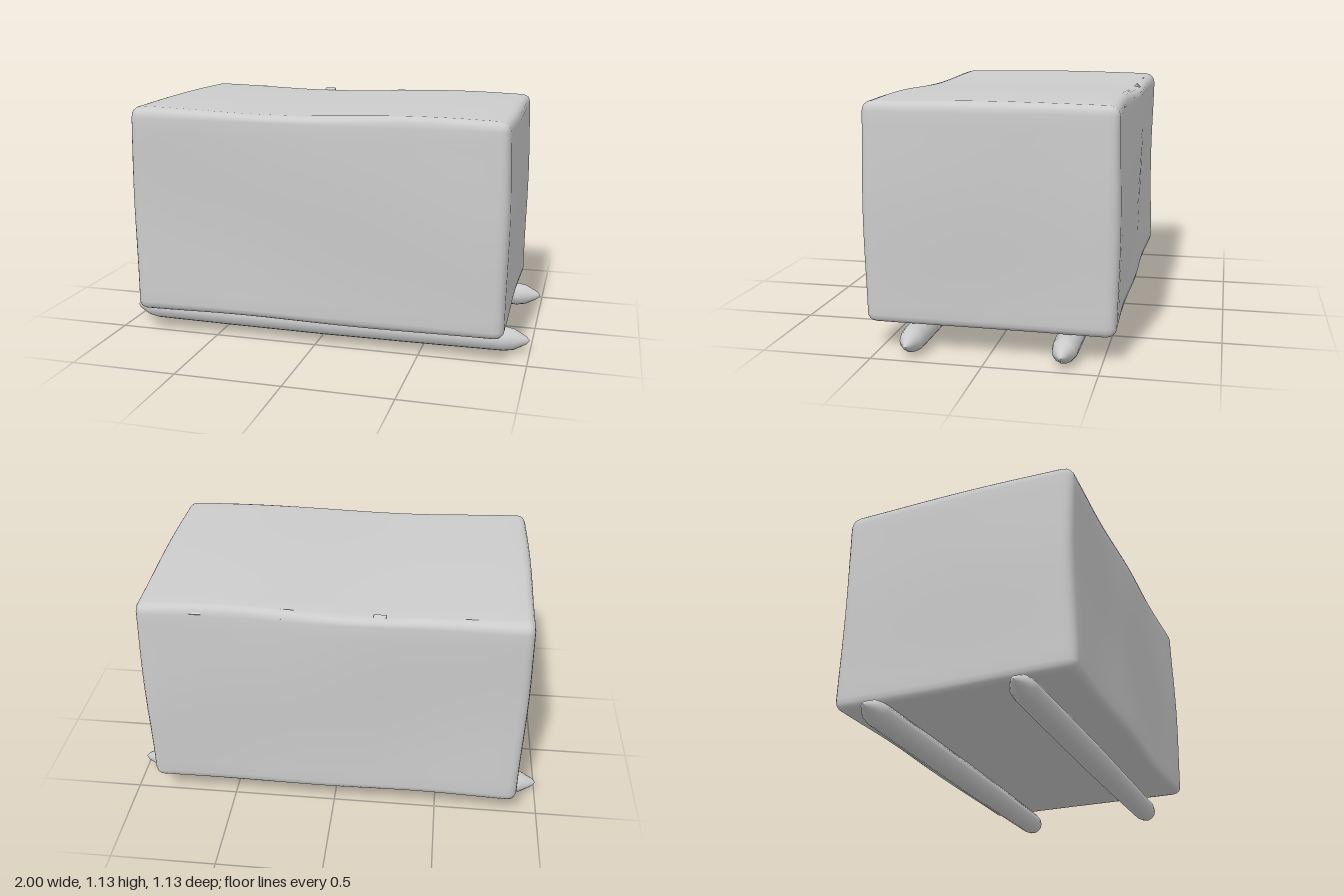
import * as THREE from 'three';
import { mergeVertices } from 'three/addons/utils/BufferGeometryUtils.js';

const material = new THREE.MeshStandardMaterial({ color: 0xcccccc });

// Places evenly spaced grid points so the two outer rows fall inside the rounded edge
function spread(value, half, segments, radius) {
  const step = (2 * half) / segments;
  const rows = (half - Math.abs(value)) / step;
  const inner = half - radius;
  const a = rows < 2
    ? inner + radius * (1 - rows / 2)
    : (Math.abs(value) / (half - 2 * step)) * inner;
  return Math.sign(value) * a;
}

// Rounded block with gently uneven, worn faces
function wornBlock(w, h, d, radius, segs) {
  const geo = new THREE.BoxGeometry(w, h, d, ...segs);
  geo.deleteAttribute('uv');
  geo.deleteAttribute('normal');
  const merged = mergeVertices(geo, 1e-4);
  const pos = merged.attributes.position;
  const half = new THREE.Vector3(w / 2, h / 2, d / 2);
  const inner = half.clone().subScalar(radius);
  const p = new THREE.Vector3();
  const core = new THREE.Vector3();
  for (let i = 0; i < pos.count; i++) {
    p.fromBufferAttribute(pos, i);
    ['x', 'y', 'z'].forEach((k, n) => { p[k] = spread(p[k], half[k], segs[n], radius); });
    core.copy(p).clamp(inner.clone().negate(), inner);
    p.sub(core).normalize();
    const { x, y, z } = core;
    const n = p.clone();
    p.multiplyScalar(radius).add(core);
    // Shallow dents and swells across each pair of faces
    p.x += n.x * 0.005 * (Math.sin(6 * y + 1) + Math.sin(5 * z + 2 * y));
    p.z += n.z * 0.005 * (Math.cos(7 * x) + Math.sin(6 * y + 2 * x));
    if (n.y > 0) p.y += n.y * (0.009 * Math.sin(4.5 * x - 0.7) + 0.005 * Math.cos(4 * z));
    else p.y += n.y * 0.004 * (Math.sin(5 * x) - 1.5 * z);
    pos.setXYZ(i, p.x, p.y, p.z);
  }
  merged.computeVertexNormals();
  return merged;
}

// Carrying pole with blunt pointed ends, lying along x
function poleGeometry() {
  const profile = [
    [0, -1], [0.018, -0.985], [0.05, -0.925], [0.058, -0.88], [0.062, -0.45], [0.064, 0],
    [0.062, 0.45], [0.058, 0.88], [0.05, 0.925], [0.018, 0.985], [0, 1],
  ].map(([r, y]) => new THREE.Vector2(r, y));
  return new THREE.LatheGeometry(profile, 14).rotateZ(-Math.PI / 2);
}

export function createModel() {
  const group = new THREE.Group();

  // Chest body
  const chest = new THREE.Mesh(wornBlock(1.79, 0.995, 1.115, 0.045, [28, 18, 20]), material);
  chest.name = 'chest';
  chest.position.y = 0.618;
  group.add(chest);

  // Carrying poles under the chest
  const poleGeo = poleGeometry();
  for (const side of [1, -1]) {
    const pole = new THREE.Mesh(poleGeo, material);
    pole.name = side > 0 ? 'frontPole' : 'backPole';
    pole.position.set(0, 0.066, side * 0.34);
    group.add(pole);
  }

  // Small hinges almost flush with the upper back edge
  const hingeGeo = new THREE.BoxGeometry(0.055, 0.035, 0.045);
  for (const x of [-0.61, -0.21, 0.2, 0.61]) {
    const hinge = new THREE.Mesh(hingeGeo, material);
    hinge.name = 'hinge';
    hinge.position.set(x, 1.088, -0.527);
    hinge.rotation.x = -Math.PI / 4;
    group.add(hinge);
  }
  return group;
}
